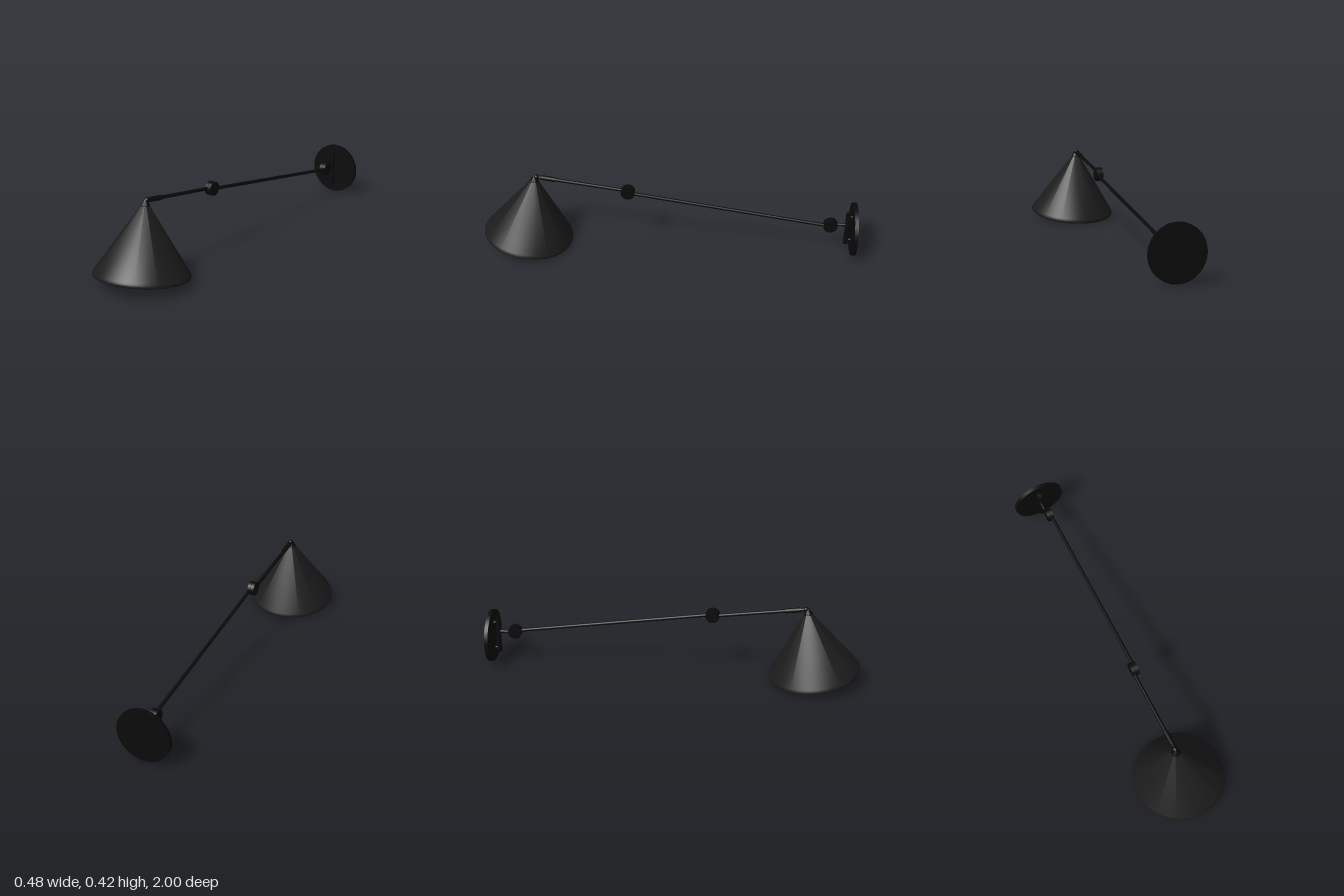
import * as THREE from 'three';
import { toCreasedNormals } from 'three/addons/utils/BufferGeometryUtils.js';

const black = new THREE.MeshStandardMaterial({ color: 0x0a0a0a });
const shadeBlack = new THREE.MeshStandardMaterial({ color: 0x1c1c1c });
const grey = new THREE.MeshStandardMaterial({ color: 0xcccccc });

const V = (x, y, z) => new THREE.Vector3(x, y, z);

function add(parent, name, geometry, material = black) {
  const mesh = new THREE.Mesh(geometry, material);
  mesh.name = name;
  parent.add(mesh);
  return mesh;
}

// Cylinder running from point a to point b
function rod(parent, name, a, b, radius, segments = 24) {
  const mesh = add(parent, name, new THREE.CylinderGeometry(radius, radius, a.distanceTo(b), segments));
  mesh.position.copy(a).lerp(b, 0.5);
  mesh.quaternion.setFromUnitVectors(V(0, 1, 0), b.clone().sub(a).normalize());
  return mesh;
}

function lathe(points, segments = 96) {
  const profile = points.map(([r, y]) => new THREE.Vector2(r, y));
  return toCreasedNormals(new THREE.LatheGeometry(profile, segments), 0.6);
}

export function createModel() {
  const model = new THREE.Group();
  model.name = 'wallLamp';

  const xLeft = 0.006, xRight = -0.012;
  const tip = V(xRight, 0.407, 0.7);
  const elbow = V(xRight, 0.34, 0.215);
  const elbowInner = V(xLeft, 0.34, 0.215);
  const shoulderInner = V(xLeft, 0.178, -0.863);
  const shoulder = V(xRight, 0.178, -0.863);

  // Conical shade, tilted forward, origin at the centre of its rim
  const head = new THREE.Group();
  head.name = 'lampHead';
  head.position.set(0, 0.038, 0.765);
  head.rotation.set(-0.15, 0, 0.035);
  model.add(head);
  add(head, 'shade', lathe([
    [0.212, 0.004], [0.214, 0], [0.234, 0], [0.239, 0.003], [0.241, 0.009],
    [0.239, 0.017], [0.235, 0.025], [0.019, 0.352],
  ]), shadeBlack);
  add(head, 'shadeLining', lathe([[0.0, 0.335], [0.012, 0.325], [0.212, 0.004]]), grey);
  add(head, 'shadeCap', lathe([
    [0, 0.347], [0.022, 0.347], [0.024, 0.35], [0.022, 0.355], [0.007, 0.379], [0.004, 0.384], [0, 0.386],
  ], 48));

  // Bulb and its holder
  add(head, 'bulb', new THREE.SphereGeometry(0.08, 40, 28)).position.y = 0.13;
  rod(head, 'bulbHolder', V(0, 0.19, 0), V(0, 0.3, 0), 0.022);

  // Arms, with a sleeve and knuckle where the front arm meets the shade
  rod(model, 'frontArm', tip, elbow, 0.009);
  rod(model, 'armSleeve', tip.clone().lerp(elbow, 0.05), tip.clone().lerp(elbow, 0.21), 0.013);
  add(model, 'headKnuckle', new THREE.SphereGeometry(0.014, 24, 16)).position.copy(tip);
  rod(model, 'rearArm', elbowInner, shoulderInner, 0.009);

  // Each pivot is a pair of discs side by side
  for (const [name, p] of [['elbowDisc', elbow], ['shoulderDisc', shoulder]]) {
    for (const [x0, x1] of [[-0.021, -0.004], [-0.003, 0.015]]) {
      rod(model, name, V(x0, p.y, p.z), V(x1, p.y, p.z), 0.037, 40);
    }
    rod(model, name + 'Pin', V(-0.018, p.y, p.z), V(0.012, p.y, p.z), 0.012);
  }

  // Wall mount: stub, upright bar on two standoffs, round plate
  rod(model, 'wallStub', shoulder, V(xRight, 0.178, -0.955), 0.009);
  rod(model, 'uprightBar', V(xRight, 0.057, -0.954), V(xRight, 0.253, -0.954), 0.013);
  for (const y of [0.08, 0.23]) {
    rod(model, 'standoff', V(xRight, y, -0.954), V(xRight, y, -0.985), 0.008);
  }
  const plate = rod(model, 'wallPlate', V(xRight, 0.152, -0.998), V(xRight, 0.152, -0.978), 0.142, 80);
  plate.rotateZ(-0.02);

  return model;
}
